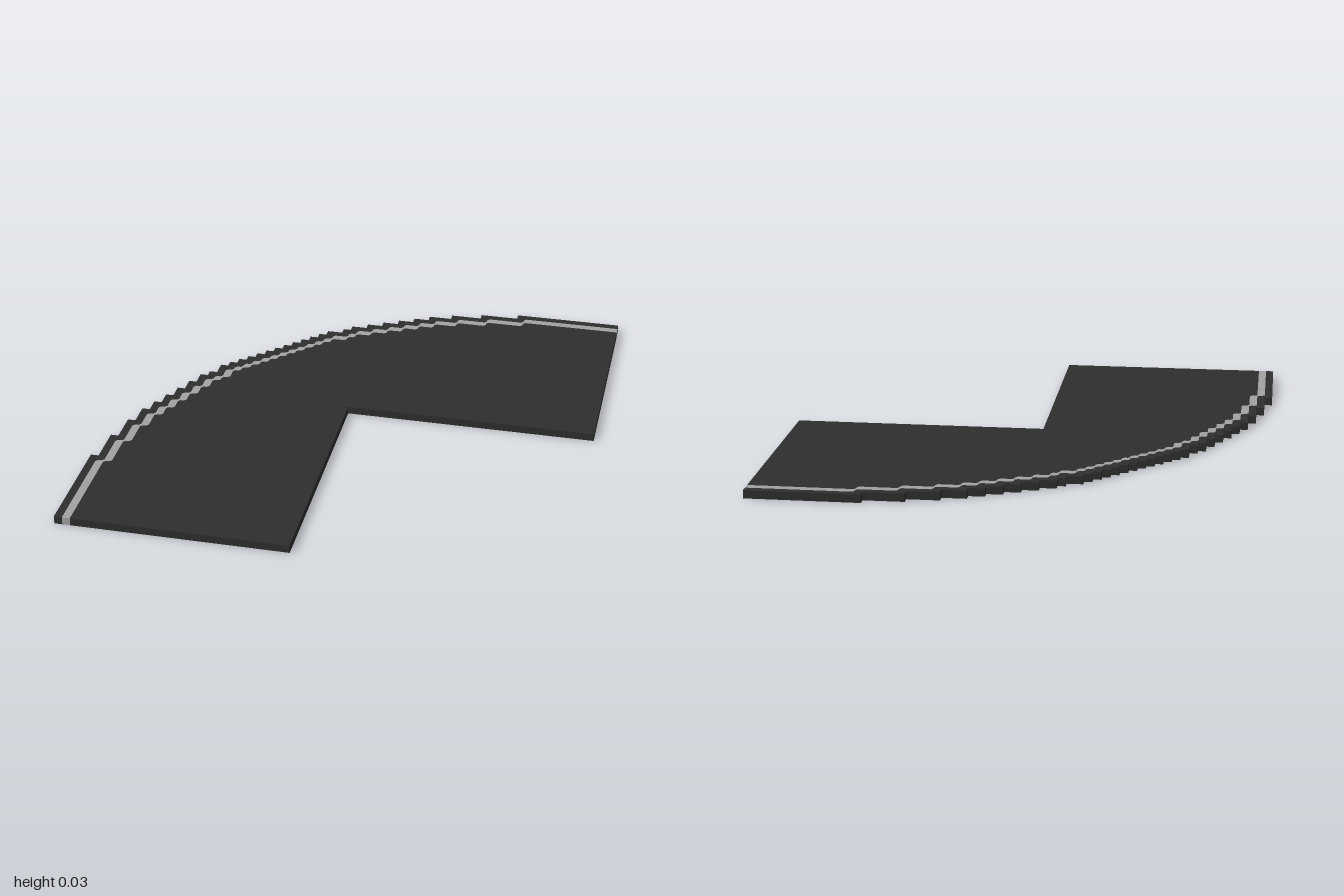
import * as THREE from 'three';

const N = 61;          // cells along each side
const U = 2 / N;       // cell size, also the slab thickness
const CHAMFER = 0.3;   // softened stripe corners, in cells

// First filled row of each column, from the outer end to the diagonal
const TOPS = [47, 42, 38, 35, 33, 31, 29, 27, 25, 24, 22, 21, 20, 19, 18, 17, 16];

// Completes a half path by mirroring it across the diagonal; the last point lies on it
function mirrored(half) {
  const other = half.slice(0, -1).reverse().map(([c, r]) => [r, c]);
  return half.concat(other);
}

// Cuts every inner corner of an open path
function chamfered(path) {
  const out = [path[0]];
  for (let i = 1; i < path.length - 1; i++) {
    const p = path[i];
    for (const q of [path[i - 1], path[i + 1]]) {
      const len = Math.hypot(q[0] - p[0], q[1] - p[1]);
      out.push([p[0] + (q[0] - p[0]) * CHAMFER / len, p[1] + (q[1] - p[1]) * CHAMFER / len]);
    }
  }
  out.push(path[path.length - 1]);
  return out;
}

// Flat slab from a closed outline in cells (column, row)
function slab(name, outline, material) {
  const shape = new THREE.Shape(outline.map(([c, r]) => new THREE.Vector2(c * U - 1, 1 - r * U)));
  const geometry = new THREE.ExtrudeGeometry(shape, { depth: U, bevelEnabled: false });
  geometry.rotateX(-Math.PI / 2);
  const mesh = new THREE.Mesh(geometry, material);
  mesh.name = name;
  return mesh;
}

export function createModel() {
  const asphalt = new THREE.MeshStandardMaterial({ color: 0x2e2e2e });
  asphalt.name = 'asphalt';
  const paint = new THREE.MeshStandardMaterial({ color: 0xa3a3a3 });
  paint.name = 'linePaint';

  // Stepped outer edge of the bend, up to the diagonal
  const half = [[0, N]];
  TOPS.forEach((top, c) => {
    if (c > 0) half.push([c, TOPS[c - 1]]);
    half.push([c, top]);
  });
  const shift = (points, dc, dr) => points.map(([c, r]) => [c + dc, Math.min(r + dr, N)]);

  const edge = mirrored(half);
  const lineOuter = chamfered(mirrored(shift(half, 1, 1)));
  const lineInner = chamfered(mirrored(shift(half.slice(0, -1), 2, 1)));

  const group = new THREE.Group();
  group.name = 'roadBend';
  group.add(
    // Strip outside the line
    slab('roadShoulder', [...edge, ...lineOuter.slice().reverse()], asphalt),
    // Painted edge line, running through the full thickness
    slab('edgeLine', [...lineOuter, ...lineInner.slice().reverse()], paint),
    // Main surface with its square inner corner
    slab('roadSurface', [...lineInner, [N, 29], [29, 29], [29, N]], asphalt),
  );
  return group;
}
